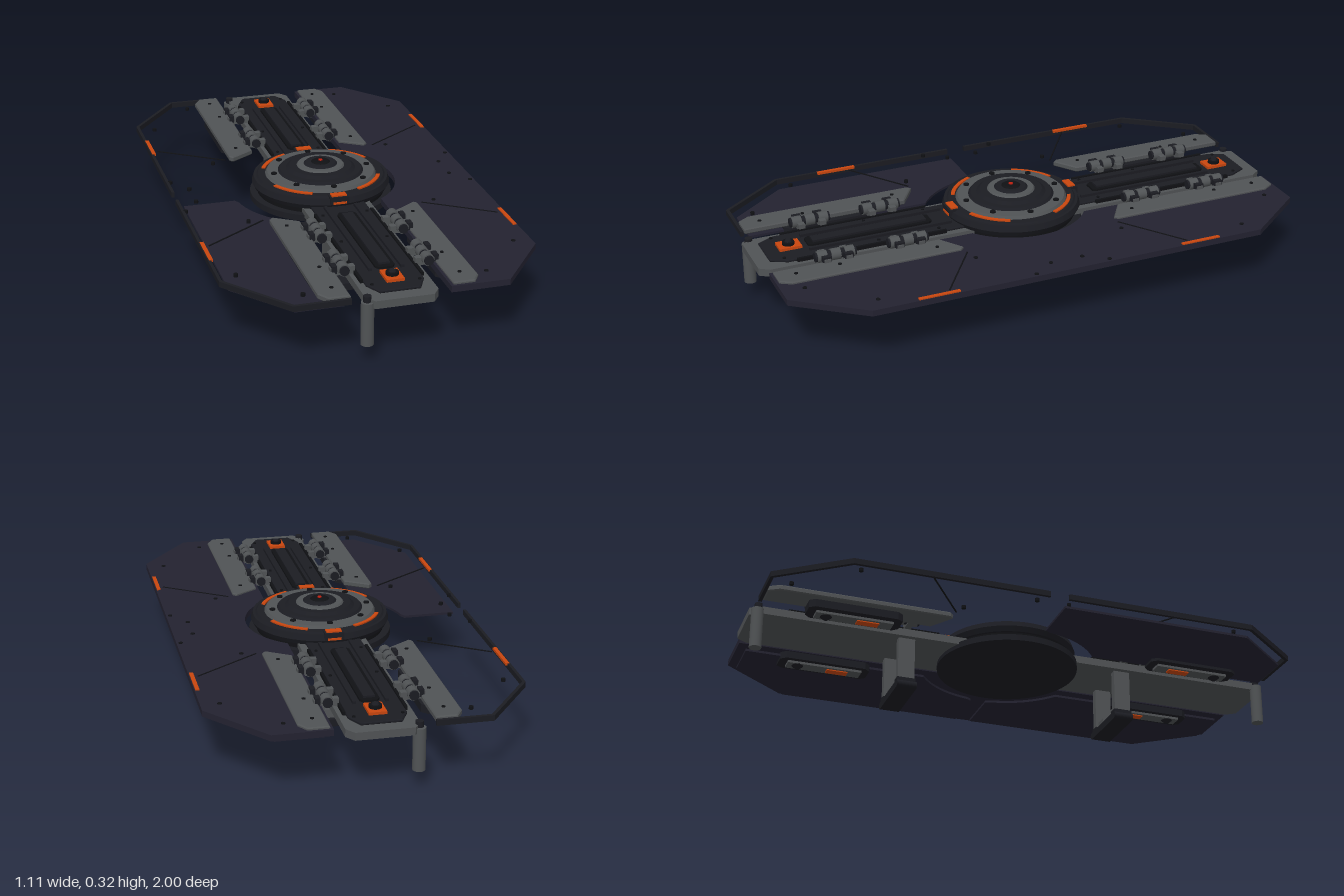
import * as THREE from 'three';

const mat = (name, color) => {
  const m = new THREE.MeshStandardMaterial({ color });
  m.name = name;
  return m;
};

export function createModel() {
  const root = new THREE.Group();
  root.name = 'model';
  const navy = mat('navy panel', 0x232230);
  const dark = mat('dark metal', 0x1b1c22);
  const gray = mat('grey metal', 0x505355);
  const orange = mat('orange accent', 0xc8460f);
  const black = mat('black fittings', 0x101114);
  const red = mat('red lamp', 0xc02010);

  const add = (name, geo, m, x = 0, y = 0, z = 0) => {
    const mesh = new THREE.Mesh(geo, m);
    mesh.name = name;
    mesh.position.set(x, y, z);
    root.add(mesh);
    return mesh;
  };
  // box given by its limits
  const box = (name, m, x0, x1, y0, y1, z0, z1) =>
    add(name, new THREE.BoxGeometry(Math.abs(x1 - x0), y1 - y0, Math.abs(z1 - z0)), m, (x0 + x1) / 2, (y0 + y1) / 2, (z0 + z1) / 2);
  // flat plate from an x-z outline, mirrored by sx and sz
  const slab = (name, m, pts, y0, y1, sx = 1, sz = 1, bevel = 0) => {
    const shape = new THREE.Shape(pts.map(([x, z]) => new THREE.Vector2(x * sx, z * sz)));
    const geo = new THREE.ExtrudeGeometry(shape, {
      depth: y1 - y0 - 2 * bevel, bevelEnabled: bevel > 0, bevelSize: bevel,
      bevelOffset: -bevel, bevelThickness: bevel, bevelSegments: 1,
    });
    geo.rotateX(Math.PI / 2);
    return add(name, geo, m, 0, y1 - bevel, 0);
  };
  const cyl = (name, m, r0, r1, y0, y1, x = 0, z = 0, n = 16) =>
    add(name, new THREE.CylinderGeometry(r1, r0, y1 - y0, n), m, x, (y0 + y1) / 2, z);
  const arc = (r, a0, a1, n = 20) => Array.from({ length: n + 1 }, (_, i) => {
    const a = a0 + (a1 - a0) * i / n;
    return [r * Math.cos(a), r * Math.sin(a)];
  });
  const ringArc = (r0, r1, a0, a1) => [...arc(r1, a0, a1), ...arc(r0, a1, a0)];

  // complete upper skin of the left wing, cut round the hub
  const cut = Math.acos(0.165 / 0.277);
  slab('leftWingSkin', navy, [
    [0.165, -0.98], [0.37, -0.98], [0.555, -0.742], [0.555, 0.742], [0.37, 0.98], [0.165, 0.98],
    ...arc(0.277, cut, -cut),
  ], 0.212, 0.234);

  // lower wing plates; one quarter is open
  const underCut = Math.acos(0.19 / 0.328);
  const underPlate = [[0.525, 0.03], [0.335, 0.03], ...arc(0.328, 0.15, underCut, 10),
    [0.19, 0.95], [0.355, 0.95], [0.525, 0.735]];
  for (const [sx, sz] of [[1, 1], [1, -1], [-1, 1]]) slab('lowerWingPlate', navy, underPlate, 0.196, 0.205, sx, sz);

  // edge frame of the open right wing
  const frame = [[0.175, 0.985], [0.37, 0.985], [0.556, 0.742], [0.556, 0.035],
    [0.545, 0.035], [0.545, 0.737], [0.364, 0.973], [0.175, 0.973]];

  for (const sx of [1, -1]) for (const sz of [1, -1]) {
    if (sx < 0) slab('wingEdgeFrame', dark, frame, 0.216, 0.236, sx, sz);
    // grey hinge plate
    slab('hingePlate', gray, [[0.175, 0.355], [0.262, 0.297], [0.275, 0.31], [0.275, 0.93], [0.25, 0.97], [0.175, 0.97]],
      0.222, 0.243, sx, sz, 0.004);
    // panel seam and outer marker
    slab('panelSeam', black, [[0.524, 0.458], [0.293, 0.298], [0.296, 0.294], [0.527, 0.454]], 0.233, 0.236, sx, sz);
    box('edgeMarker', orange, sx * 0.538, sx * 0.552, 0.229, 0.238, sz * 0.425, sz * 0.575);
    // screws
    for (const [x, z] of [[0.49, 0.7], [0.315, 0.9], [0.345, 0.285], [0.485, 0.06], [0.54, 0.14]])
      cyl('wingScrew', black, 0.008, 0.008, 0.226, 0.237, sx * x, sz * z, 8);
    for (const [x, z] of [[0.215, 0.74], [0.232, 0.385], [0.22, 0.9]])
      cyl('plateScrew', black, 0.007, 0.007, 0.24, 0.246, sx * x, sz * z, 8);

    // hinges: barrel, collars and cross arms
    for (const z of [0.465, 0.735]) {
      for (const [r, len, m] of [[0.017, 0.15, dark], [0.021, 0.035, gray]]) {
        for (const dz of m === gray ? [-0.05, 0, 0.05] : [0]) {
          const barrel = add('hingeBarrel', new THREE.CylinderGeometry(r, r, len, 16), m, sx * 0.147, 0.25, sz * z + dz);
          barrel.rotation.x = Math.PI / 2;
        }
      }
      for (const dz of [-0.04, 0.04]) {
        box('hingeArm', gray, sx * 0.105, sx * 0.19, 0.228, 0.255, sz * z + dz - 0.012, sz * z + dz + 0.012);
        box('hingeFoot', dark, sx * 0.168, sx * 0.186, 0.236, 0.262, sz * z + dz - 0.016, sz * z + dz + 0.016);
      }
    }

    // pod beneath the wing root
    slab('underPod', dark, [[0.172, 0.5], [0.19, 0.48], [0.25, 0.48], [0.265, 0.5], [0.265, 0.8], [0.25, 0.82], [0.19, 0.82], [0.172, 0.8]],
      0.185, 0.214, sx, sz);
    slab('podBelly', gray, [[0.19, 0.51], [0.24, 0.51], [0.24, 0.79], [0.19, 0.79]], 0.176, 0.185, sx, sz);
    cyl('podNozzle', dark, 0.004, 0.024, 0.162, 0.178, sx * 0.213, sz * 0.75);
    box('podLight', orange, sx * 0.2, sx * 0.23, 0.172, 0.177, sz * 0.56, sz * 0.64);
  }

  // central spine
  slab('spineBase', gray, [[-0.1, -1], [0.1, -1], [0.125, -0.965], [0.125, 0.965], [0.1, 1], [-0.1, 1], [-0.125, 0.965], [-0.125, -0.965]],
    0.197, 0.225);
  for (const s of [1, -1]) {
    slab('spineDeck', dark, [[-0.1, 0.2], [0.1, 0.2], [0.1, 0.89], [0.07, 0.95], [-0.07, 0.95], [-0.1, 0.89]], 0.224, 0.235, 1, s, 0.003);
    for (const sx of [1, -1]) {
      box('spineRail', dark, sx * 0.05, sx * 0.062, 0.234, 0.245, s * 0.26, s * 0.8);
      box('spineSideRail', black, sx * 0.1, sx * 0.11, 0.222, 0.238, s * 0.3, s * 0.86);
      for (const z of [0.32, 0.55, 0.9]) cyl('deckScrew', black, 0.006, 0.006, 0.233, 0.239, sx * 0.082, s * z, 8);
    }
    // central slot cover
    slab('slotFrame', black, [[-0.034, 0.34], [-0.024, 0.325], [0.024, 0.325], [0.034, 0.34], [0.034, 0.78], [0.024, 0.795], [-0.024, 0.795], [-0.034, 0.78]],
      0.234, 0.243, 1, s);
    box('slotBar', dark, -0.02, 0.02, 0.242, 0.25, s * 0.345, s * 0.775);
    // orange end fitting
    box('endFitting', orange, -0.031, 0.031, 0.234, 0.245, s * 0.818, s * 0.9);
    cyl('endKnob', black, 0.022, 0.022, 0.243, 0.256, 0, s * 0.86);
    cyl('endKnobCap', dark, 0.013, 0.01, 0.256, 0.262, 0, s * 0.86);

    // hanging post at each end
    cyl('hangingPost', gray, 0.022, 0.022, 0.062, 0.214, -0.12, s * 0.975, 20);
    cyl('postCap', dark, 0.014, 0.014, 0.214, 0.235, -0.12, s * 0.972);

    // landing leg
    for (const x of [-0.0925, 0.091]) {
      box('legColumn', gray, x - 0.013, x + 0.013, 0.026, 0.198, s * 0.39, s * 0.452);
      box('legCollar', dark, x - 0.017, x + 0.017, 0.026, 0.04, s * 0.387, s * 0.455);
    }
    box('legBlock', gray, 0.035, 0.08, 0.026, 0.06, s * 0.4, s * 0.44);
    const foot = new THREE.Shape();
    foot.moveTo(-0.108, 0);
    foot.lineTo(0.106, 0);
    foot.absarc(0.104, 0.0135, 0.0135, -Math.PI / 2, Math.PI / 2);
    foot.absarc(-0.106, 0.0135, 0.0135, Math.PI / 2, Math.PI * 1.5);
    add('legFoot', new THREE.ExtrudeGeometry(foot, { depth: 0.074, bevelEnabled: false }), dark, 0, 0, s * 0.42 - 0.037);
  }

  // hub: stacked discs
  cyl('hubLowerDisc', dark, 0.262, 0.262, 0.182, 0.205, 0, 0, 64);
  const discs = [
    ['hubCore', black, 0.235, 0.235, 0.205, 0.24],
    ['hubBase', dark, 0.245, 0.255, 0.225, 0.243],
    ['hubRim', dark, 0.255, 0.248, 0.243, 0.264],
    ['hubShoulder', dark, 0.238, 0.232, 0.264, 0.27],
    ['hubGreyRing', gray, 0.205, 0.198, 0.27, 0.281],
    ['hubDarkStep', dark, 0.158, 0.15, 0.281, 0.29],
    ['hubUpperStep', dark, 0.128, 0.115, 0.29, 0.3],
    ['hubInnerRing', gray, 0.088, 0.083, 0.3, 0.306],
    ['hubCap', dark, 0.062, 0.055, 0.306, 0.312],
    ['hubCapTop', black, 0.035, 0.028, 0.312, 0.317],
    ['hubLamp', red, 0.008, 0.008, 0.316, 0.32],
  ];
  for (const [name, m, r0, r1, y0, y1] of discs) cyl(name, m, r0, r1, y0, y1, 0, 0, 64);
  for (let i = 0; i < 8; i++) {
    const a = i * Math.PI / 4;
    cyl('hubBolt', black, 0.011, 0.011, 0.28, 0.286, 0.178 * Math.cos(a), 0.178 * Math.sin(a), 8);
  }
  // orange arcs and tabs on the hub
  for (const sx of [1, -1]) for (const sz of [1, -1])
    slab('hubArcLight', orange, ringArc(0.208, 0.222, 0.42, 1.16), 0.268, 0.275, sx, sz);
  for (const s of [1, -1]) {
    box('hubTab', dark, -0.035, 0.035, 0.245, 0.272, s * 0.215, s * 0.257);
    box('hubTabLight', orange, -0.028, 0.028, 0.27, 0.277, s * 0.222, s * 0.25);
    box('hubTabFace', orange, -0.025, 0.025, 0.246, 0.254, s * 0.255, s * 0.26);
  }
  return root;
}
